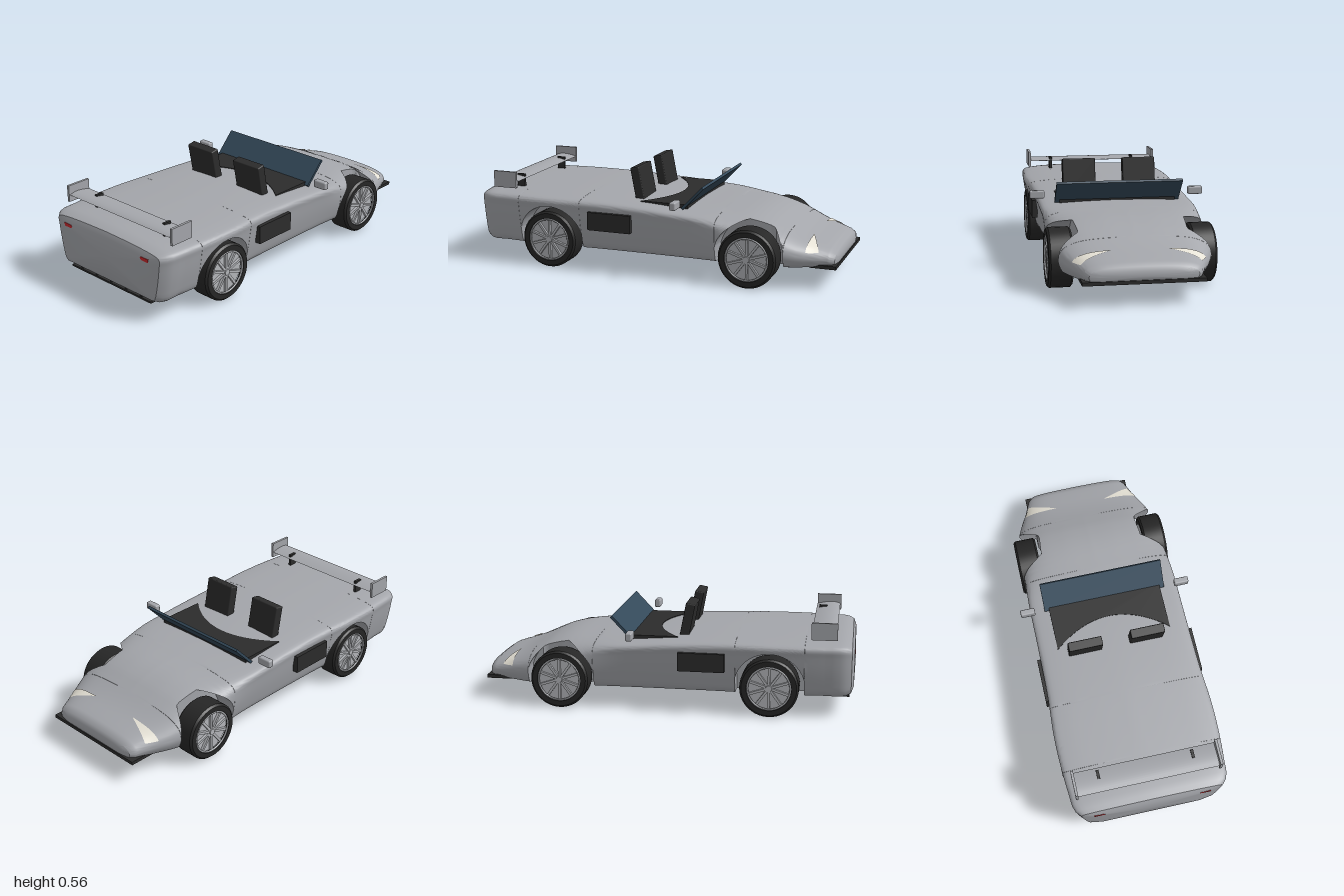
import * as THREE from 'three';
import { toCreasedNormals } from 'three/addons/utils/BufferGeometryUtils.js';
import { RoundedBoxGeometry } from 'three/addons/geometries/RoundedBoxGeometry.js';

const mat = (name, color, side = THREE.FrontSide) => {
  const m = new THREE.MeshStandardMaterial({ color, side });
  m.name = name;
  return m;
};

// Body stations from nose to tail: z, top height, half width, floor height
const STATIONS = [
  [-0.995, 0.175, 0.22, 0.13], [-0.985, 0.195, 0.27, 0.118], [-0.95, 0.215, 0.295, 0.112],
  [-0.88, 0.235, 0.325, 0.112], [-0.8, 0.262, 0.365, 0.112], [-0.72, 0.298, 0.395, 0.112],
  [-0.65, 0.328, 0.408, 0.112], [-0.56, 0.352, 0.415, 0.112], [-0.4, 0.366, 0.418, 0.112],
  [-0.2, 0.375, 0.418, 0.112], [0, 0.39, 0.418, 0.112], [0.3, 0.403, 0.422, 0.112],
  [0.56, 0.406, 0.435, 0.112], [0.85, 0.405, 0.422, 0.112], [0.955, 0.402, 0.405, 0.112],
  [0.982, 0.392, 0.38, 0.122], [0.995, 0.365, 0.315, 0.145],
];
const spline = new THREE.CubicInterpolant(
  STATIONS.map(s => s[0]), STATIONS.flatMap(s => s.slice(1)), 3, new Float32Array(3));

// Half sections as fractions of width and height, floor corner to crown
const TAIL = [[0.85, 0], [0.89, 0.05], [0.93, 0.25], [0.965, 0.5], [0.99, 0.75], [1, 0.85], [0.975, 0.91], [0.85, 0.95], [0.45, 0.985], [0, 1]];
const NOSE = [[0.88, 0], [0.94, 0.05], [0.98, 0.2], [1, 0.38], [0.985, 0.55], [0.95, 0.68], [0.87, 0.8], [0.72, 0.91], [0.4, 0.98], [0, 1]];

const WHEEL_Z = 0.56, WHEEL_Y = 0.155, ARCH_R = 0.185, WELL_X = 0.29, FLOOR = 0.112;
const ARCH_SPAN = Math.sqrt(ARCH_R ** 2 - (WHEEL_Y - FLOOR) ** 2);

function sectionCurve(z) {
  const [top, w, bot] = spline.evaluate(z);
  const k = 1 - THREE.MathUtils.smoothstep(z, -0.62, -0.2);
  const pts = TAIL.map((p, i) => new THREE.Vector3(
    w * THREE.MathUtils.lerp(p[0], NOSE[i][0], k),
    bot + (top - bot) * THREE.MathUtils.lerp(p[1], NOSE[i][1], k), z));
  return new THREE.CatmullRomCurve3(pts, false, 'centripetal').getPoints(72);
}

// Height of the upper body surface at x, z
function surfaceY(x, z) {
  const c = sectionCurve(z);
  for (let i = c.length - 1; i > 0; i--) if (c[i - 1].x >= Math.abs(x)) {
    const t = (Math.abs(x) - c[i].x) / (c[i - 1].x - c[i].x);
    return THREE.MathUtils.lerp(c[i].y, c[i - 1].y, t);
  }
  return c[36].y;
}

// Full ring at z, stepping inward over the wheels
function bodyRing(z) {
  const c = sectionCurve(z);
  const d = Math.abs(Math.abs(z) - WHEEL_Z);
  const inArch = d <= ARCH_SPAN + 1e-6;
  let start = 0;
  if (inArch) {
    const archY = WHEEL_Y + Math.sqrt(Math.max(0, ARCH_R ** 2 - d ** 2));
    while (start < 70 && c[Math.floor(start)].x > WELL_X) {
      const i = Math.floor(start), a = c[i], b = c[i + 1];
      if (b.y >= archY) { start = i + THREE.MathUtils.clamp((archY - a.y) / (b.y - a.y), 0, 1); break; }
      start = i + 1;
    }
  }
  const at = t => {
    const i = Math.min(71, Math.floor(t));
    return c[i].clone().lerp(c[i + 1], t - i);
  };
  const first = at(start), bot = c[0].y;
  const inner = inArch ? Math.min(WELL_X, first.x) : first.x;
  const half = [new THREE.Vector3(0, bot, z), new THREE.Vector3(inner, bot, z), new THREE.Vector3(inner, first.y, z)];
  for (let i = 0; i <= 26; i++) half.push(at(start + (72 - start) * i / 26));
  const other = half.slice(0, -1).reverse().map(p => new THREE.Vector3(-p.x, p.y, p.z));
  return [...half, ...other];
}

// Surface through rows of points
function skin(rows, crease) {
  const n = rows[0].length, index = [];
  for (let i = 0; i < rows.length - 1; i++) for (let j = 0; j < n - 1; j++) {
    const a = i * n + j, b = a + n;
    index.push(a, a + 1, b + 1, a, b + 1, b);
  }
  const g = new THREE.BufferGeometry().setFromPoints(rows.flat());
  g.setIndex(index);
  return toCreasedNormals(g, crease);
}

function bodyGeometry() {
  const zs = STATIONS.map(s => s[0]);
  for (let z = -0.96; z < 0.96; z += 0.04) zs.push(z);
  const limit = Math.acos(ARCH_SPAN / ARCH_R);
  for (const s of [-1, 1]) for (let i = 0; i <= 28; i++) {
    const a = -limit + (Math.PI + 2 * limit) * i / 28;
    zs.push(s * WHEEL_Z + THREE.MathUtils.clamp(ARCH_R * Math.cos(a), -ARCH_SPAN, ARCH_SPAN));
  }
  for (const s of [-1, 1]) for (const e of [-1, 1]) zs.push(s * WHEEL_Z + e * (ARCH_SPAN + 0.001));
  zs.sort((a, b) => a - b);
  const rings = zs.filter((z, i) => !i || z - zs[i - 1] > 1e-5).map(bodyRing);
  const cap = (ring, y, z) => ring.map(() => new THREE.Vector3(0, y, z));
  return skin([cap(rings[0], 0.15, -0.998), ...rings, cap(rings[0], 0.26, 1)], 0.6);
}

export function createModel() {
  const car = new THREE.Group();
  car.name = 'openSportsCar';
  const paint = mat('silver paint', 0xa4a6ab);
  const black = mat('black trim', 0x2c2c2c);
  const rubber = mat('tyre rubber', 0x262626);
  const alloy = mat('wheel alloy', 0xb4b6ba);
  const glass = mat('tinted glass', 0x34495a);
  const lamp = mat('headlight cream', 0xe6e2d6, THREE.DoubleSide);
  const red = mat('taillight red', 0xc8282c);

  const add = (name, geo, m, x = 0, y = 0, z = 0, parent = car) => {
    const mesh = new THREE.Mesh(geo, m);
    mesh.name = name;
    mesh.position.set(x, y, z);
    parent.add(mesh);
    return mesh;
  };
  const box = (name, w, h, d, m, x, y, z, parent) => add(name, new THREE.BoxGeometry(w, h, d), m, x, y, z, parent);

  add('body', bodyGeometry(), paint);

  // Cockpit opening with a curved rear edge
  const deck = new THREE.Shape([[-0.315, 0.2], [0.315, 0.2], [0.315, -0.065]].reverse().map(p => new THREE.Vector2(...p)));
  deck.quadraticCurveTo(0, 0.2, -0.315, -0.065);
  const outline = new THREE.Shape();
  outline.moveTo(-0.315, 0.2);
  outline.lineTo(-0.315, -0.065);
  outline.quadraticCurveTo(0, 0.2, 0.315, -0.065);
  outline.lineTo(0.315, 0.2);
  const deckGeo = new THREE.ExtrudeGeometry(outline, { depth: 0.04, bevelEnabled: false, curveSegments: 20 });
  add('cockpitOpening', deckGeo.rotateX(-Math.PI / 2), black, 0, 0.348, 0);

  // Windscreen
  const screen = box('windscreen', 0.68, 0.165, 0.014, glass, 0, 0.43, -0.235);
  screen.rotation.x = -0.76;

  // Splitter, diffuser and its fins
  box('frontSplitter', 0.61, 0.018, 0.14, black, 0, 0.121, -0.93);
  box('rearDiffuser', 0.6, 0.01, 0.22, black, 0, 0.1, 0.865);
  for (let i = -2; i <= 2; i++) box('diffuserFin', 0.012, 0.018, 0.2, black, i * 0.112, 0.112, 0.87);

  // Rear wing
  const wing = new THREE.Shape();
  wing.moveTo(-0.9, 0.452);
  wing.quadraticCurveTo(-0.86, 0.474, -0.77, 0.449);
  wing.quadraticCurveTo(-0.85, 0.43, -0.9, 0.452);
  const wingGeo = new THREE.ExtrudeGeometry(wing, { depth: 0.76, bevelEnabled: false, curveSegments: 10 });
  wingGeo.rotateY(Math.PI / 2);
  add('rearWing', toCreasedNormals(wingGeo, 0.6), paint, -0.38, 0, 0);

  const tyreProfile = [[0.112, -0.0625], [0.145, -0.0625], [0.155, -0.052], [0.155, 0.052], [0.145, 0.0625], [0.118, 0.0625], [0.114, 0.045]]
    .map(p => new THREE.Vector2(...p));
  const tyreGeo = toCreasedNormals(new THREE.LatheGeometry(tyreProfile, 40), 0.5).rotateZ(-Math.PI / 2);
  const rimGeo = new THREE.CylinderGeometry(0.115, 0.115, 0.1, 40).rotateZ(Math.PI / 2);
  const lipGeo = new THREE.TorusGeometry(0.112, 0.005, 8, 40).rotateY(Math.PI / 2);
  const hubGeo = new THREE.CylinderGeometry(0.016, 0.022, 0.018, 20).rotateZ(-Math.PI / 2);

  for (const s of [-1, 1]) {
    // Seats
    const seat = add('seat', new RoundedBoxGeometry(0.185, 0.22, 0.05, 2, 0.006), black, s * 0.17, 0.447, 0.103);
    seat.rotation.x = 0.19;

    // Mirrors and side vents
    add('mirror', new RoundedBoxGeometry(0.08, 0.043, 0.034, 2, 0.008), paint, s * 0.434, 0.411, -0.172);
    box('sideVent', 0.03, 0.098, 0.245, black, s * 0.422, 0.281, 0.203);

    // Wing end plates and struts
    box('wingEndPlate', 0.014, 0.09, 0.135, paint, s * 0.384, 0.46, 0.838);
    box('wingStrut', 0.015, 0.08, 0.045, black, s * 0.253, 0.428, 0.808);

    // Headlights laid over the nose
    const rows = [];
    for (let i = 0; i <= 10; i++) {
      const u = i / 10, row = [];
      for (let j = 0; j <= 4; j++) {
        const v = j / 4;
        const x = 0.14 + u * (0.195 - 0.035 * v), z = -0.845 - 0.062 * u * v;
        row.push(new THREE.Vector3(s * x, surfaceY(x, z) + 0.005, z));
      }
      rows.push(row);
    }
    add('headlight', skin(rows, 0.6), lamp);

    // Taillights with a pointed inner end
    const light = new THREE.Shape([[0.313, 0.35], [0.313, 0.332], [0.265, 0.332], [0.255, 0.341], [0.262, 0.35]]
      .map(p => new THREE.Vector2(s * p[0], p[1])));
    add('taillight', new THREE.ExtrudeGeometry(light, { depth: 0.022, bevelEnabled: false }), red, 0, 0, 0.975);

    // Wheels with ten spokes
    for (const end of [-1, 1]) {
      const wheel = new THREE.Group();
      wheel.name = end < 0 ? 'frontWheel' : 'rearWheel';
      wheel.position.set(s * 0.3675, WHEEL_Y, end * WHEEL_Z);
      if (s < 0) wheel.rotation.y = Math.PI;
      add('tyre', tyreGeo, rubber, 0, 0, 0, wheel);
      add('rim', rimGeo, alloy, -0.008, 0, 0, wheel);
      add('rimLip', lipGeo, alloy, 0.058, 0, 0, wheel);
      add('hub', hubGeo, alloy, 0.052, 0, 0, wheel);
      for (let k = 0; k < 10; k++) {
        const a = k / 10 * Math.PI * 2;
        const spoke = box('spoke', 0.016, 0.1, 0.013, alloy, 0.048, 0.062 * Math.cos(a), 0.062 * Math.sin(a), wheel);
        spoke.rotation.x = a;
      }
      car.add(wheel);
    }
  }
  return car;
}
